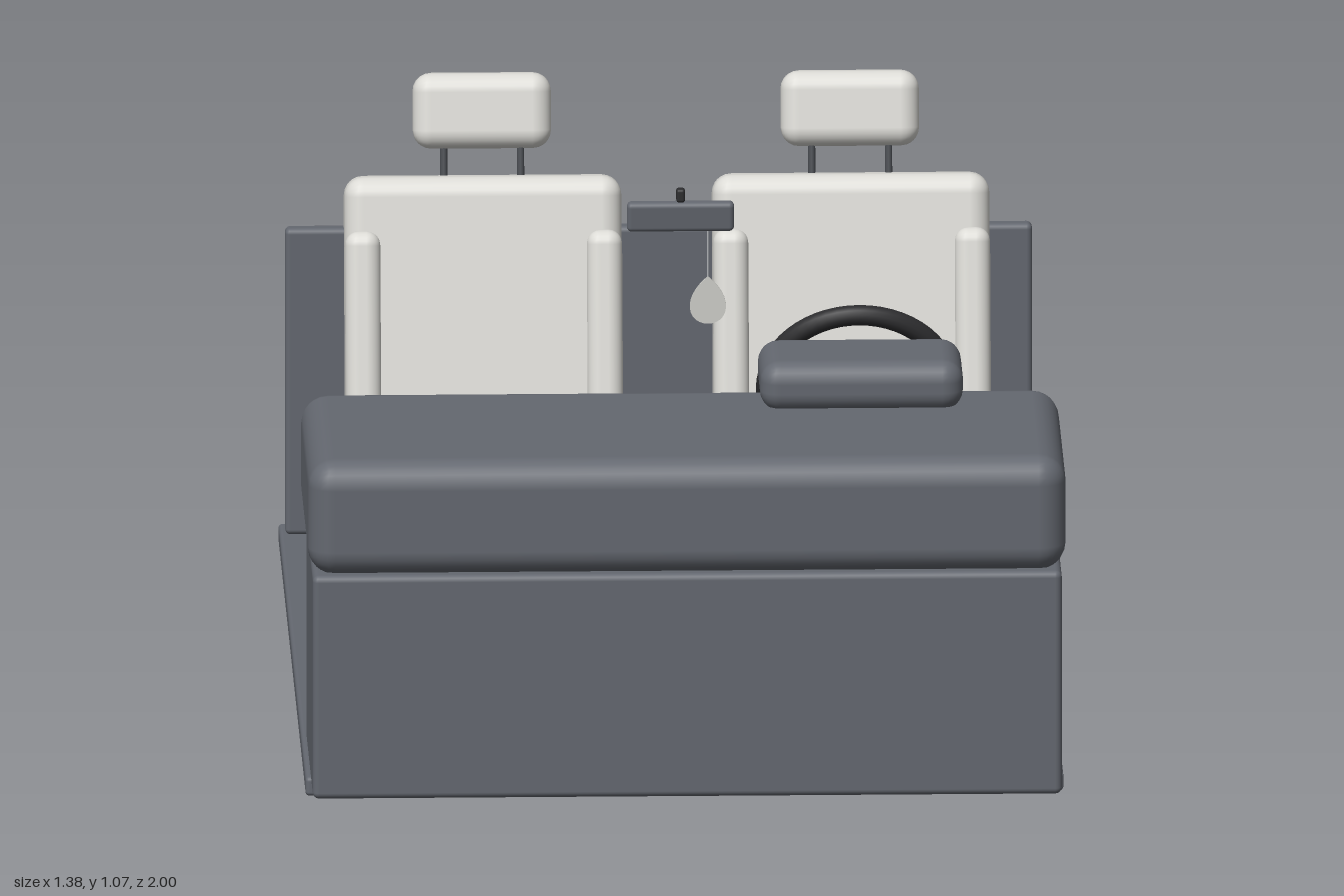
import * as THREE from 'three';
import { RoundedBoxGeometry } from 'three/addons/geometries/RoundedBoxGeometry.js';

const material = (name, color) => {
  const m = new THREE.MeshStandardMaterial({ color });
  m.name = name;
  return m;
};

export function createModel() {
  const grey = material('slate grey', 0x646870);
  const cream = material('cream upholstery', 0xdcdbd6);
  const black = material('black rubber', 0x2d2d2f);
  const metal = material('light metal', 0xb4b7ba);
  const dark = material('dark metal', 0x484b50);
  const paper = material('pale card', 0xcfcfca);
  paper.side = THREE.DoubleSide;

  const root = new THREE.Group();

  const add = (parent, name, geometry, mat, x = 0, y = 0, z = 0) => {
    const mesh = new THREE.Mesh(geometry, mat);
    mesh.name = name;
    mesh.position.set(x, y, z);
    parent.add(mesh);
    return mesh;
  };
  // Rounded box given by centre and size
  const box = (parent, name, mat, [x, y, z], [w, h, d], r = 0.01) =>
    add(parent, name, new RoundedBoxGeometry(w, h, d, 3, r), mat, x, y, z);
  // Cylinder whose axis lies along z
  const disc = (parent, name, mat, [x, y, z], r, depth, r2 = r) => {
    const g = new THREE.CylinderGeometry(r, r2, depth, 28).rotateX(Math.PI / 2);
    return add(parent, name, g, mat, x, y, z);
  };
  // Straight rod between two points
  const rod = (parent, name, mat, a, b, r) => {
    const p = new THREE.Vector3(...a), q = new THREE.Vector3(...b);
    return add(parent, name, new THREE.TubeGeometry(new THREE.LineCurve3(p, q), 1, r, 10), mat);
  };
  const group = (name, x = 0, y = 0, z = 0) => {
    const g = new THREE.Group();
    g.name = name;
    g.position.set(x, y, z);
    root.add(g);
    return g;
  };

  // Cabin shell
  box(root, 'floor', grey, [0, 0.019, -0.095], [1.38, 0.036, 1.81], 0.008);
  box(root, 'rearPartition', grey, [0, 0.327, -0.92], [1.36, 0.576, 0.034], 0.01);
  box(root, 'lowerFrontWall', grey, [0, 0.255, 0.785], [1.364, 0.42, 0.43], 0.012);
  box(root, 'dashboard', grey, [0, 0.567, 0.73], [1.38, 0.216, 0.54], 0.05);
  box(root, 'instrumentHood', grey, [0.328, 0.713, 0.527], [0.37, 0.094, 0.212], 0.038);

  // Dashboard details on the cabin side
  box(root, 'gloveBoxSlot', black, [-0.335, 0.493, 0.462], [0.34, 0.012, 0.012], 0.004);
  for (const s of [-1, 1]) {
    const vent = group('roundVent', s * 0.612, 0.567, 0.455);
    disc(vent, 'ventCup', black, [0, 0, 0], 0.034, 0.03);
    add(vent, 'ventRim', new THREE.TorusGeometry(0.031, 0.006, 8, 28), dark, 0, 0, -0.015);
    for (const y of [-0.012, 0.012]) box(vent, 'ventSlat', dark, [0, y, -0.015], [0.05, 0.005, 0.006], 0.002);
  }
  for (const x of [0.275, 0.385]) {
    disc(root, 'gaugeFace', black, [x, 0.575, 0.45], 0.044, 0.04);
    add(root, 'gaugeRim', new THREE.TorusGeometry(0.044, 0.006, 8, 32), metal, x, 0.575, 0.43);
  }

  // Centre stack with vents, screen and switches
  box(root, 'centreStack', grey, [0, 0.392, 0.445], [0.24, 0.454, 0.085], 0.012);
  for (const x of [-0.073, 0.073]) {
    box(root, 'stackVent', black, [x, 0.57, 0.398], [0.1, 0.046, 0.025], 0.01);
    for (const dy of [-0.01, 0.01])
      box(root, 'stackVentSlat', dark, [x, 0.57 + dy, 0.385], [0.08, 0.005, 0.006], 0.002);
  }
  box(root, 'screen', black, [0, 0.475, 0.4], [0.17, 0.078, 0.022], 0.008);
  for (const x of [-0.065, 0, 0.065]) disc(root, 'controlKnob', dark, [x, 0.395, 0.4], 0.018, 0.016);

  // Console between the seats
  box(root, 'console', grey, [0, 0.186, 0.06], [0.205, 0.292, 0.7], 0.012);
  box(root, 'consoleDuct', grey, [0, 0.09, 0.49], [0.2, 0.1, 0.18], 0.01);
  box(root, 'armrest', cream, [0, 0.365, -0.135], [0.19, 0.09, 0.32], 0.028);
  for (const x of [-0.047, 0.047]) {
    add(root, 'cupHolder', new THREE.CylinderGeometry(0.031, 0.031, 0.006, 28), black, x, 0.334, 0.115);
    add(root, 'cupHolderRim', new THREE.TorusGeometry(0.031, 0.004, 8, 28).rotateX(Math.PI / 2), dark, x, 0.335, 0.115);
  }
  const boot = [[0.045, 0], [0.042, 0.01], [0.025, 0.025], [0.01, 0.05], [0.008, 0.052]];
  add(root, 'gearBoot', new THREE.LatheGeometry(boot.map(p => new THREE.Vector2(...p)), 28), black, 0, 0.331, 0.315);
  rod(root, 'gearShaft', metal, [0, 0.37, 0.315], [0, 0.46, 0.315], 0.007);
  add(root, 'gearKnob', new THREE.SphereGeometry(0.031, 24, 16), black, 0, 0.482, 0.315);

  // Seats: base, cushion, leaning backrest and headrest
  for (const s of [-1, 1]) {
    const seat = group('seat', s * 0.335);
    box(seat, 'seatBase', grey, [0, 0.12, -0.092], [0.4, 0.16, 0.385], 0.012);
    for (const x of [-0.15, 0.15]) box(seat, 'seatRail', black, [x, 0.045, -0.1], [0.035, 0.022, 0.44], 0.005);
    box(seat, 'cushion', cream, [0, 0.253, -0.085], [0.5, 0.125, 0.485], 0.04);
    const back = new THREE.Group();
    back.name = 'backrest';
    back.position.set(0, 0.573, -0.335);
    back.rotation.x = -0.21;
    seat.add(back);
    box(back, 'backPad', cream, [0, 0, 0], [0.505, 0.565, 0.106], 0.036);
    box(back, 'headrest', cream, [0, 0.4, -0.02], [0.252, 0.138, 0.078], 0.034);
    for (const m of [-1, 1]) {
      box(seat, 'cushionBolster', cream, [m * 0.22, 0.292, -0.04], [0.062, 0.078, 0.35], 0.028);
      box(back, 'backBolster', cream, [m * 0.22, -0.04, 0.047], [0.065, 0.45, 0.058], 0.026);
      rod(back, 'headrestPost', dark, [m * 0.07, 0.26, -0.015], [m * 0.07, 0.36, -0.015], 0.007);
    }
    // Ribbed foot mat
    box(root, 'footMat', black, [s * 0.335, 0.042, 0.3], [0.39, 0.012, 0.4], 0.004);
    for (let i = 0; i < 5; i++)
      box(root, 'matRib', black, [s * 0.335, 0.05, 0.2 + i * 0.06], [0.31, 0.008, 0.018], 0.003);
  }

  // Steering wheel, tilted toward the driver
  const wheel = group('steeringWheel', 0.33, 0.627, 0.29);
  wheel.rotation.x = 0.41;
  add(wheel, 'wheelRim', new THREE.TorusGeometry(0.167, 0.019, 14, 56), black);
  disc(wheel, 'wheelHub', black, [0, 0, 0.005], 0.045, 0.04);
  disc(wheel, 'hornPad', dark, [0, 0, -0.018], 0.03, 0.014);
  for (const a of [0, Math.PI, -Math.PI / 2]) {
    const spoke = box(wheel, 'wheelSpoke', black, [Math.cos(a) * 0.1, Math.sin(a) * 0.1, 0.005], [0.14, 0.028, 0.014], 0.006);
    spoke.rotation.z = a;
  }
  disc(wheel, 'steeringColumn', grey, [0, 0, 0.12], 0.034, 0.21, 0.026);
  for (const m of [-1, 1]) rod(wheel, 'stalk', black, [m * 0.02, 0, 0.09], [m * 0.11, 0.015, 0.08], 0.007);

  // Pedals hung from the front wall
  for (const x of [0.22, 0.33, 0.44]) {
    rod(root, 'pedalArm', dark, [x, 0.32, 0.575], [x, 0.18, 0.495], 0.008);
    const pad = box(root, 'pedalPad', black, [x, 0.2, 0.482], [0.06, 0.12, 0.018], 0.007);
    pad.rotation.x = -0.42;
  }

  // Mirror with a hanging drop-shaped tag
  const mirror = box(root, 'mirror', grey, [0, 1.018, 0.54], [0.195, 0.056, 0.024], 0.009);
  mirror.rotation.x = 0.12;
  box(mirror, 'mirrorGlass', black, [0, 0, -0.011], [0.18, 0.044, 0.006], 0.002);
  box(root, 'mirrorMount', black, [0, 1.06, 0.55], [0.016, 0.025, 0.02], 0.005);
  rod(root, 'tagString', metal, [0.05, 0.995, 0.54], [0.05, 0.895, 0.54], 0.0015);
  const drop = new THREE.Shape();
  drop.moveTo(0, 0.09);
  drop.bezierCurveTo(0.022, 0.072, 0.034, 0.05, 0.033, 0.032);
  drop.bezierCurveTo(0.031, -0.009, -0.031, -0.009, -0.033, 0.032);
  drop.bezierCurveTo(-0.034, 0.05, -0.022, 0.072, 0, 0.09);
  const dropGeometry = new THREE.ExtrudeGeometry(drop, { depth: 0.004, bevelEnabled: false, curveSegments: 12 });
  add(root, 'hangingTag', dropGeometry, paper, 0.05, 0.814, 0.538);

  // Waste bin on the passenger side
  const bin = group('wasteBin', -0.567, 0.037, 0.438);
  add(bin, 'binBody', new THREE.CylinderGeometry(0.073, 0.058, 0.18, 32), grey, 0, 0.09, 0);
  add(bin, 'binLid', new THREE.CylinderGeometry(0.078, 0.083, 0.02, 32), black, 0, 0.187, 0);
  box(bin, 'binHandle', black, [0, 0.2, 0], [0.05, 0.014, 0.02], 0.006);

  return root;
}
